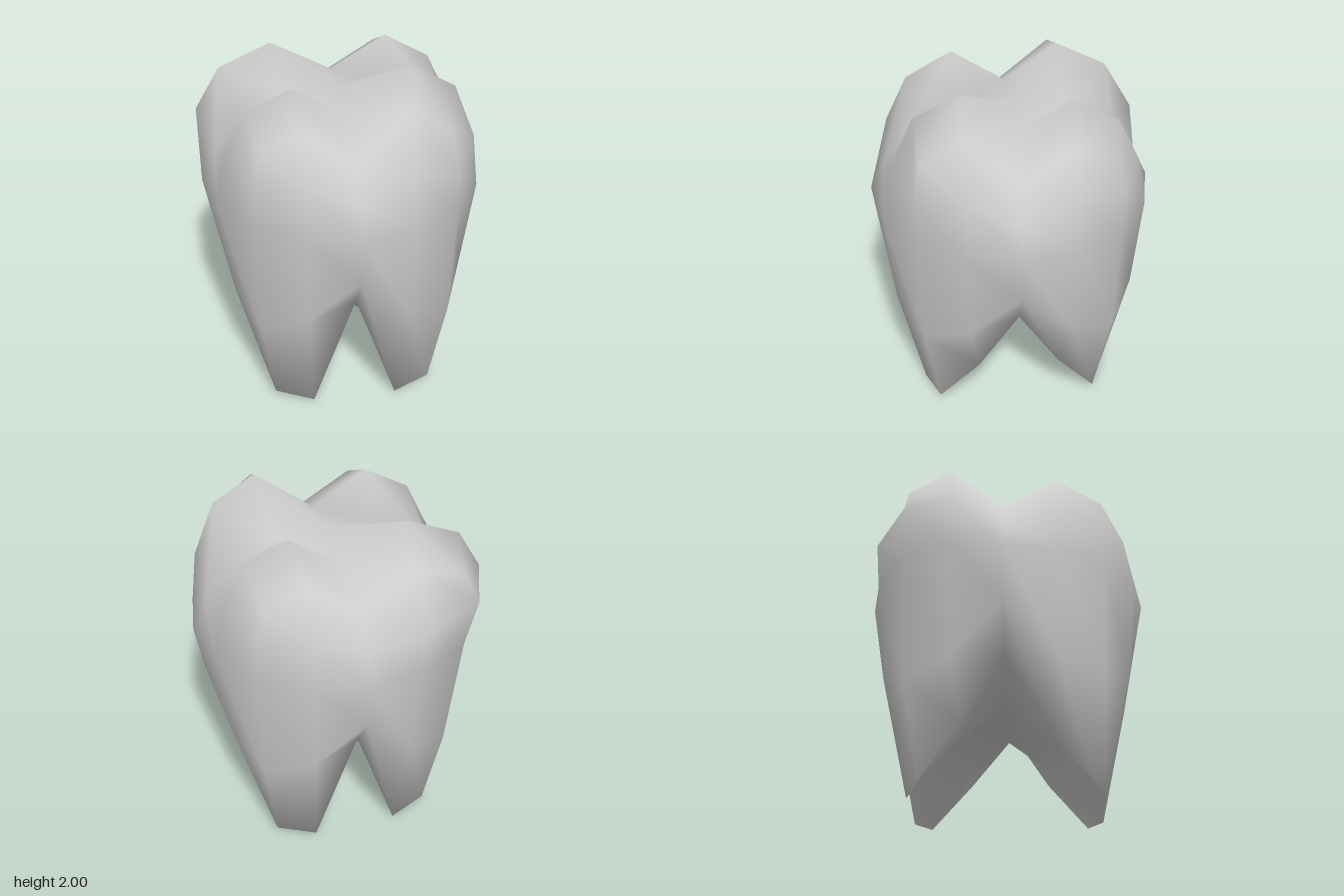
import * as THREE from 'three';
import { mergeVertices } from 'three/addons/utils/BufferGeometryUtils.js';

const R = 0.79, MID = 1.24;

// Rules keyed by |grid x|,grid y,|grid z| of a 4x4x4 cube-sphere: [|x|, y, |z|], null keeps the value
const rules = {
  // chewing surface: centre, cross grooves and their outer ends
  '0,2,0': [null, 1.77, null],
  '1,2,0': [0.3, 1.73, null],
  '0,2,1': [null, 1.73, 0.3],
  '2,2,0': [0.58, 1.59, null],
  '0,2,2': [null, 1.59, 0.58],
  '2,1,0': [0.71, 1.41, null],
  '0,1,2': [null, 1.41, 0.71],
  // cusps and their full outer corners
  '1,2,1': [0.31, 1.92, 0.3],
  '2,2,1': [0.56, 1.78, 0.29],
  '1,2,2': [0.29, 1.78, 0.56],
  '2,2,2': [0.51, 1.67, 0.51],
  '2,1,2': [0.56, 1.49, 0.56],
  // root tips, root walls and the hollow between the roots
  '2,-2,2': [null, 0.03, null],
  '1,-2,2': [0.24, 0, null],
  '2,-2,1': [null, 0.32, 0.23],
  '0,-2,2': [null, 0.7, null],
  '1,-2,1': [null, 0.29, null],
  '1,-1,2': [null, 0.68, null],
  '2,-1,1': [0.65, 0.66, null],
  '2,-1,2': [null, 0.56, null],
};

// Replacements for the two uneven cusps
const tallCusp = {
  '1,2,1': [0.34, 2.0, 0.29],
  '2,2,1': [0.58, 1.86, 0.29],
  '1,2,2': [0.3, 1.86, 0.54],
  '2,2,2': [0.52, 1.71, 0.52],
  '2,1,1': [0.7, 1.55, 0.29],
};
const wideCusp = {
  '1,2,1': [0.35, 1.92, 0.3],
  '2,2,1': [0.65, 1.79, 0.29],
  '1,2,2': [0.32, 1.79, 0.58],
  '2,2,2': [0.59, 1.69, 0.54],
  '2,1,1': [0.79, 1.55, 0.28],
  '1,1,2': [0.33, 1.5, 0.745],
  '2,1,2': [0.68, 1.5, 0.56],
  '2,0,1': [0.78, 1.26, 0.3],
  '2,0,2': [0.61, 1.24, 0.56],
};

function toothGeometry() {
  let g = new THREE.BoxGeometry(4, 4, 4, 4, 4, 4);
  g.deleteAttribute('uv');
  g.deleteAttribute('normal');
  // split each square along its other diagonal
  const index = g.index.array;
  for (let n = 0; n < index.length; n += 6) {
    const [a, b, d, , c] = index.slice(n, n + 6);
    index.set([a, b, c, a, c, d], n);
  }
  g = mergeVertices(g);
  const pos = g.attributes.position;
  const v = new THREE.Vector3();
  for (let n = 0; n < pos.count; n++) {
    v.fromBufferAttribute(pos, n).round();
    const { x: i, y: j, z: k } = v;
    const key = `${Math.abs(i)},${j},${Math.abs(k)}`;
    // even cube-sphere
    v.set(...[i, j, k].map((c) => Math.tan((c * Math.PI) / 8))).setLength(R);
    v.y += MID;
    // sculpt cusps and roots
    let rule = rules[key];
    if (i > 0 && k > 0) rule = tallCusp[key] || rule;
    if (i < 0 && k < 0) rule = wideCusp[key] || rule;
    if (rule) {
      const [x, y, z] = rule;
      if (x !== null) v.x = Math.sign(i) * x;
      if (y !== null) v.y = y;
      if (z !== null) v.z = Math.sign(k) * z;
    }
    pos.setXYZ(n, v.x, v.y, v.z);
  }
  g.computeVertexNormals();
  return g;
}

export function createModel() {
  const model = new THREE.Group();
  model.name = 'molarTooth';
  const tooth = new THREE.Mesh(
    toothGeometry(),
    new THREE.MeshStandardMaterial({ color: 0xcccccc })
  );
  tooth.name = 'crownAndRoots';
  model.add(tooth);
  return model;
}
